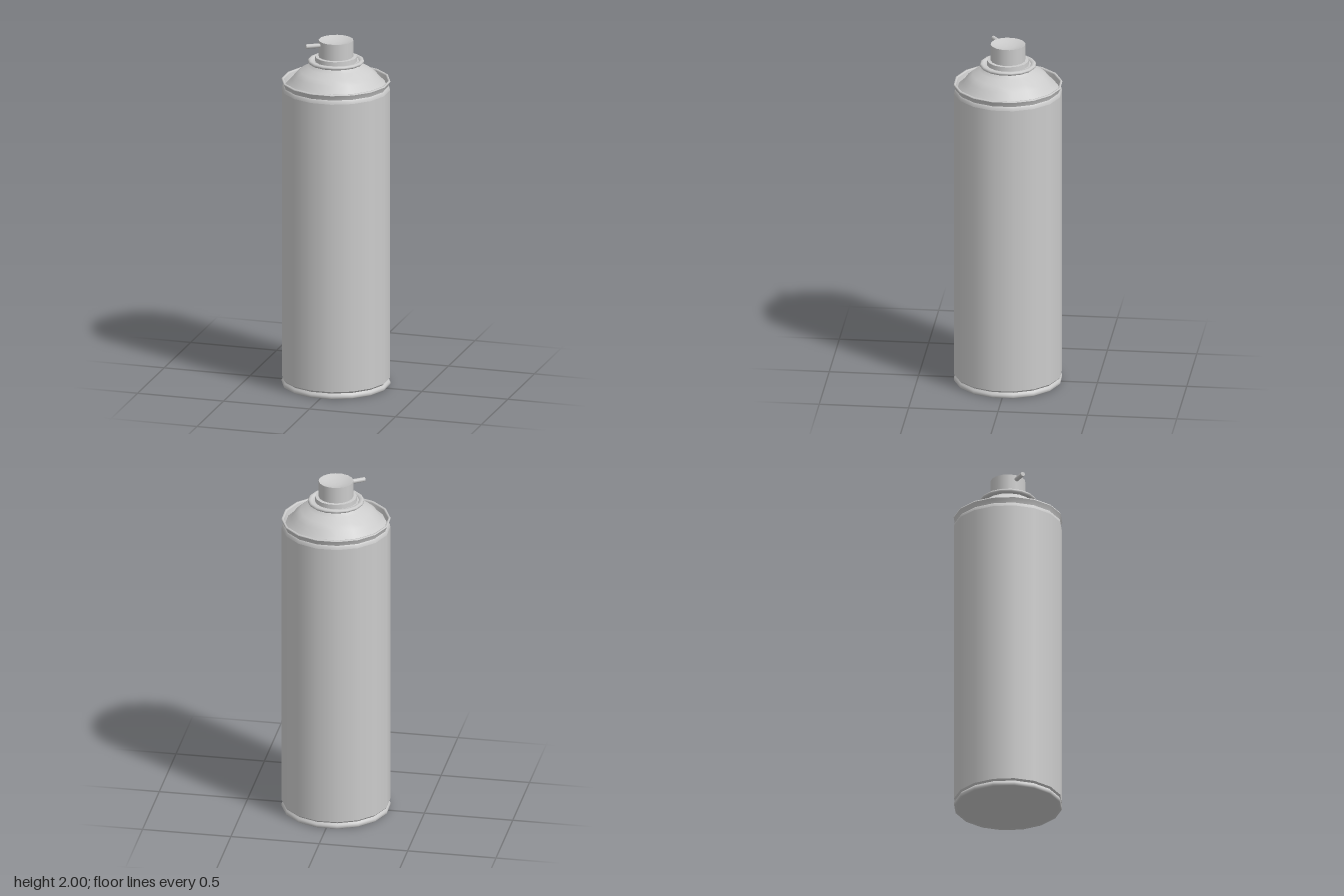
import * as THREE from 'three';

const material = new THREE.MeshStandardMaterial({ color: 0xcccccc, side: THREE.DoubleSide });
const TURN = THREE.MathUtils.degToRad(12.2);

// Turned part from [radius, height] pairs; every profile keeps its own smooth normals
function turned(name, profiles, sides = 16) {
  const part = new THREE.Group();
  part.name = name;
  profiles.forEach((profile, i) => {
    const points = profile.map(([r, y]) => new THREE.Vector2(r, y));
    const mesh = new THREE.Mesh(new THREE.LatheGeometry(points, sides, TURN), material);
    mesh.name = `${name}Surface${i + 1}`;
    part.add(mesh);
  });
  return part;
}

export function createModel() {
  const can = new THREE.Group();
  can.name = 'sprayCan';

  // Flat base with its rolled seam
  can.add(turned('base', [
    [[0, 0.004], [0.29, 0.004]],
    [[0.29, 0.004], [0.297, 0], [0.303, 0.006], [0.303, 0.018], [0.297, 0.026]],
    [[0.297, 0.026], [0.293, 0.032]],
  ]));

  // Tall straight wall, slightly necked at both ends
  can.add(turned('body', [
    [[0.293, 0.032], [0.302, 0.042]],
    [[0.302, 0.042], [0.302, 1.715]],
    [[0.302, 1.715], [0.299, 1.73], [0.293, 1.737]],
  ]));

  // Flared upper rim with a thin lip
  can.add(turned('rim', [
    [[0.293, 1.737], [0.297, 1.75], [0.304, 1.765]],
    [[0.304, 1.765], [0.302, 1.771], [0.294, 1.771], [0.291, 1.765]],
    [[0.291, 1.765], [0.284, 1.738]],
  ]));

  // Domed shoulder
  can.add(turned('shoulder', [
    [[0.284, 1.738], [0.248, 1.772], [0.23, 1.798], [0.2, 1.823], [0.157, 1.846], [0.135, 1.862], [0.125, 1.875]],
  ]));

  // Rolled collar and valve cup
  can.add(turned('collar', [
    [[0.125, 1.868], [0.15, 1.868], [0.157, 1.874], [0.157, 1.882], [0.15, 1.888], [0.137, 1.888], [0.129, 1.88]],
  ]));
  can.add(turned('valveCup', [
    [[0.129, 1.88], [0.118, 1.88]],
    [[0.118, 1.88], [0.116, 1.905]],
    [[0.116, 1.905], [0.095, 1.906]],
  ]));

  // Press button with a shallow finger dish
  can.add(turned('button', [
    [[0.097, 1.9], [0.097, 2]],
    [[0.097, 2], [0.085, 1.997], [0.06, 1.989], [0.03, 1.985], [0, 1.984]],
  ]));

  // Spray tube pointing out of the button
  const start = new THREE.Vector3(-0.07, 1.976, 0.05);
  const end = new THREE.Vector3(-0.145, 1.976, 0.098);
  const direction = end.clone().sub(start);
  const tube = new THREE.Mesh(new THREE.CylinderGeometry(0.013, 0.013, direction.length(), 8), material);
  tube.name = 'sprayTube';
  tube.position.copy(start).add(end).multiplyScalar(0.5);
  tube.quaternion.setFromUnitVectors(new THREE.Vector3(0, 1, 0), direction.normalize());
  can.add(tube);

  return can;
}
